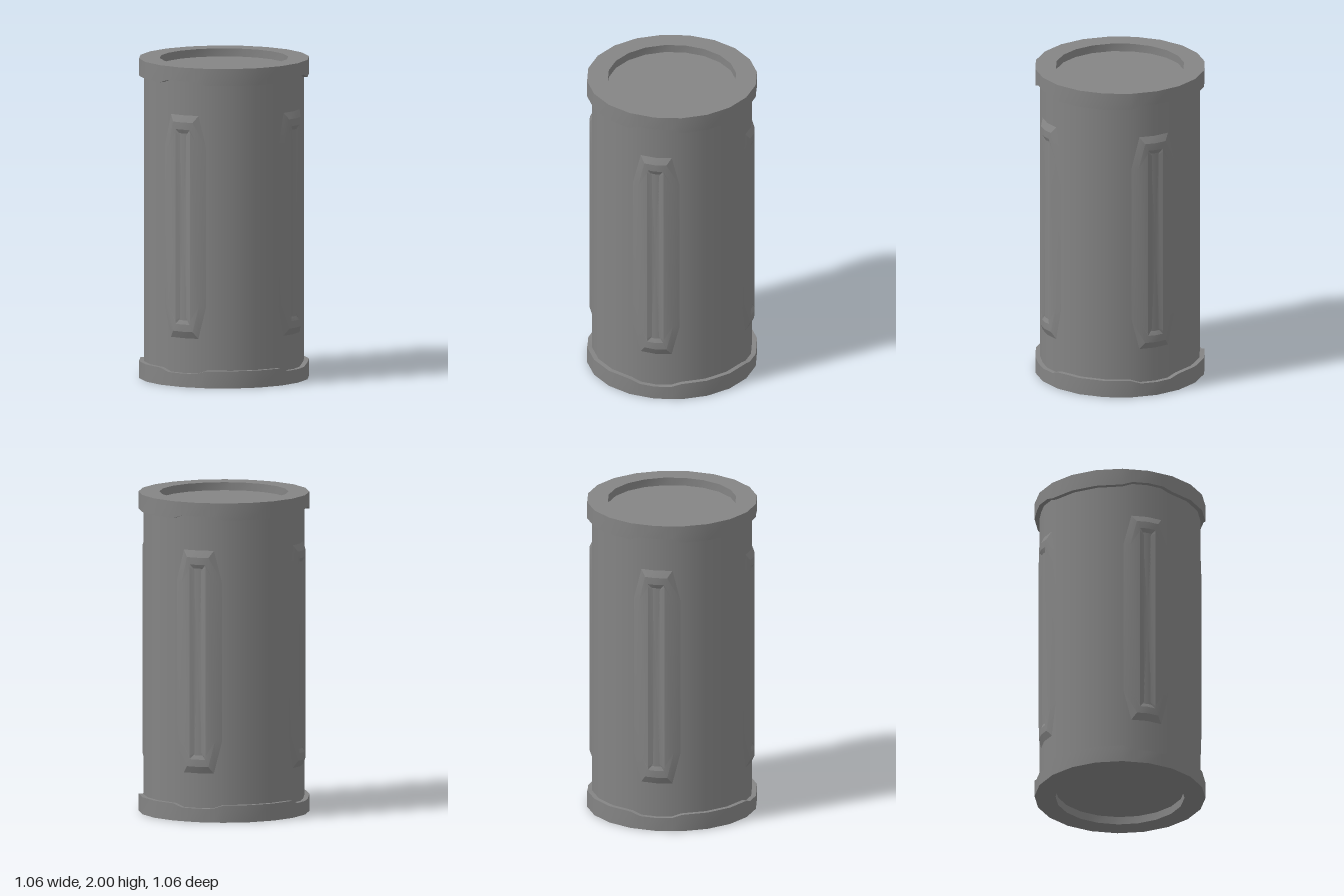
import * as THREE from 'three';
import { toCreasedNormals } from 'three/addons/utils/BufferGeometryUtils.js';

const SIDES = 20;
const BODY_R = 0.5;
const CREASE = 0.4; // edges sharper than this stay crisp
const SLOPE = Math.tan(Math.PI / SIDES); // slant of the body facets beside each axis

// Skin rings of points (counterclockwise, outside to inside) and fan the last one shut
function loft(rings, centre) {
  const pos = [];
  const tri = (...pts) => pts.forEach((p) => pos.push(p.x, p.y, p.z));
  const n = rings[0].length;
  for (let j = 0; j < n; j++) {
    const k = (j + 1) % n;
    for (let i = 0; i < rings.length - 1; i++) {
      const [lo, hi] = [rings[i], rings[i + 1]];
      tri(lo[j], lo[k], hi[k]);
      tri(lo[j], hi[k], hi[j]);
    }
    const last = rings[rings.length - 1];
    tri(last[j], last[k], centre);
  }
  const geo = new THREE.BufferGeometry();
  geo.setAttribute('position', new THREE.Float32BufferAttribute(pos, 3));
  return toCreasedNormals(geo, CREASE);
}

// End cap: 20-sided rim, sunken disc, and a shallow notch in the skirt at each quarter
function capGeometry() {
  const stations = [];
  const dir = (i) => {
    const a = (i / SIDES) * Math.PI * 2;
    return new THREE.Vector2(Math.sin(a), Math.cos(a));
  };
  for (let i = 0; i < SIDES; i++) {
    const d = dir(i), next = dir(i + 1);
    const step = i % 5;
    stations.push({ d, low: step === 0 ? 1.915 : 1.893 });
    if (step === 0) stations.push({ d: d.clone().lerp(next, 0.61), low: 1.915 });
    if (step === 4) stations.push({ d: d.clone().lerp(next, 0.39), low: 1.915 });
  }
  const ring = (r, y) => stations.map((s) =>
    new THREE.Vector3(s.d.x * r, y === undefined ? s.low : y, s.d.y * r));
  const rings = [ring(0.49), ring(0.53), ring(0.53, 2), ring(0.4, 2), ring(0.4, 1.95)];
  return loft(rings, new THREE.Vector3(0, 1.95, 0));
}

// Raised grip panel: long octagon, bevelled, with a shallow groove, bent to the body
function panelGeometry() {
  const ring = (xEnd, yEnd, endLift, xSide, ySide, sideLift) => {
    const half = [
      [0, -yEnd, endLift], [xEnd, -yEnd, endLift], [xSide, -ySide, sideLift],
      [xSide, ySide, sideLift], [xEnd, yEnd, endLift],
    ];
    const outline = [...half, ...half.map(([x, y, lift]) => [-x, -y, lift])];
    return outline.map(([x, y, lift]) =>
      new THREE.Vector3(x, 1 + y, BODY_R + lift - Math.abs(x) * SLOPE));
  };
  const rings = [
    ring(0.1, 0.7, -0.001, 0.15, 0.5, -0.001),
    ring(0.07, 0.655, 0.02, 0.11, 0.49, 0.014),
    ring(0.05, 0.61, 0.02, 0.052, 0.59, 0.019),
    ring(0.03, 0.585, 0.008, 0.022, 0.57, 0.008),
  ];
  return loft(rings, new THREE.Vector3(0, 1, BODY_R + 0.008));
}

export function createModel() {
  const model = new THREE.Group();
  model.name = 'canister';
  const darkGrey = new THREE.MeshStandardMaterial({ color: 0x848484 });
  const add = (name, geo) => {
    const mesh = new THREE.Mesh(geo, darkGrey);
    mesh.name = name;
    model.add(mesh);
    return mesh;
  };

  // Body tube
  add('body', new THREE.CylinderGeometry(BODY_R, BODY_R, 1.88, SIDES, 1, true)).position.y = 1;

  // Top cap and its mirrored twin below
  const cap = capGeometry();
  add('topCap', cap);
  const bottom = add('bottomCap', cap);
  bottom.rotation.x = Math.PI;
  bottom.position.y = 2;

  // Four grip panels
  const panel = panelGeometry();
  ['frontPanel', 'leftPanel', 'backPanel', 'rightPanel'].forEach((name, i) => {
    add(name, panel).rotation.y = (i * Math.PI) / 2;
  });
  return model;
}
